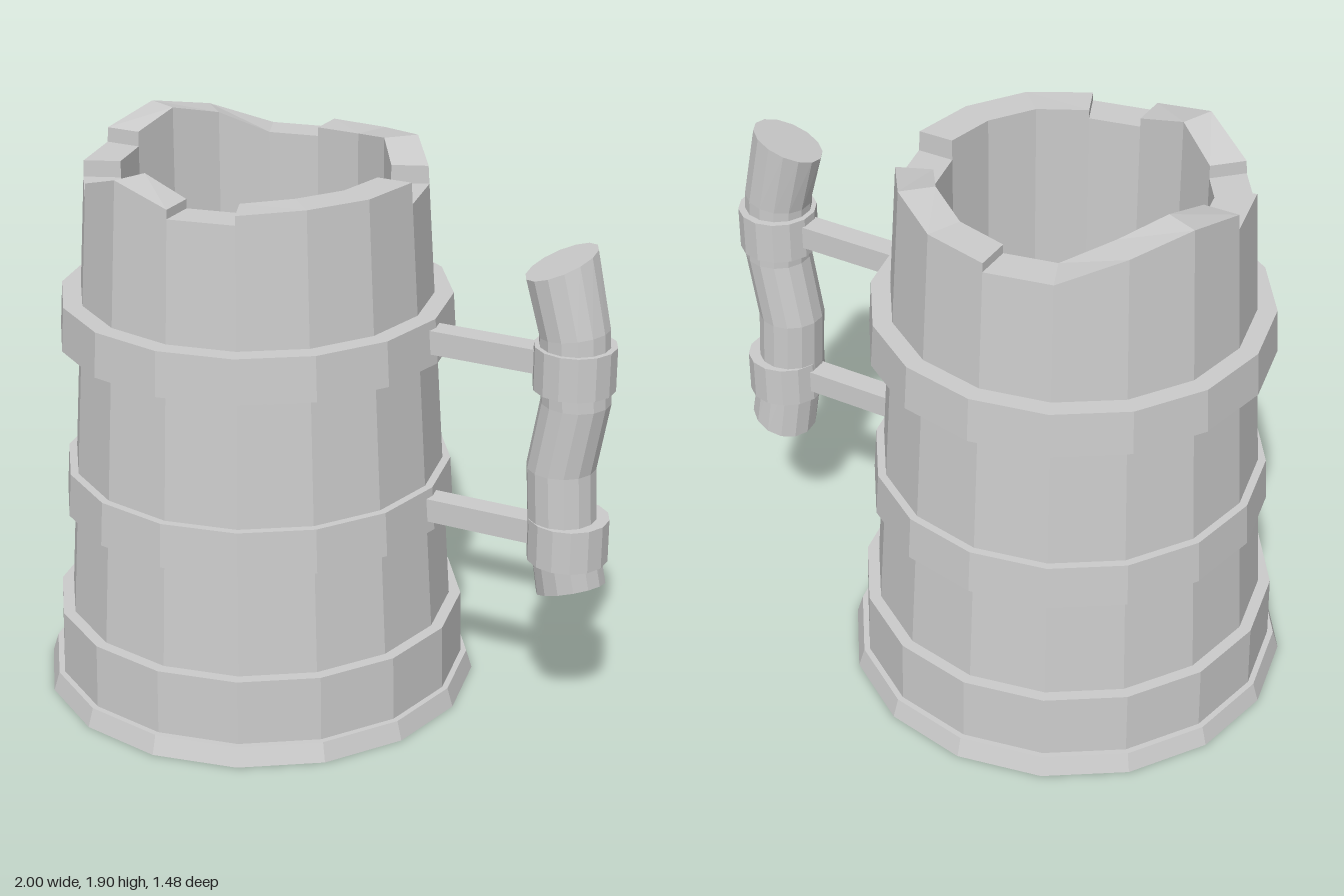
import * as THREE from 'three';

const SIDES = 16;
const CX = -0.26; // mug axis
const material = new THREE.MeshStandardMaterial({ color: 0xcccccc, flatShading: true });

function add(parent, name, geometry, x = 0, y = 0, z = 0) {
  const mesh = new THREE.Mesh(geometry, material);
  mesh.name = name;
  mesh.position.set(x, y, z);
  parent.add(mesh);
  return mesh;
}

const lathe = (profile) =>
  new THREE.LatheGeometry(profile.map(([r, y]) => new THREE.Vector2(r, y)), SIDES);

// Broken rim: start and end height of each wall segment, from +x through the front (+z)
const RIM = [
  [1.83, 1.83], [1.83, 1.83], [1.83, 1.82], [1.79, 1.79],
  [1.82, 1.87], [1.87, 1.80], [1.755, 1.755], [1.81, 1.81],
  [1.86, 1.905], [1.905, 1.865], [1.865, 1.79], [1.79, 1.79],
  [1.82, 1.83], [1.83, 1.86], [1.86, 1.82], [1.76, 1.76],
];

// Hollow tapering wall with a stepped rim and a floor
function wallGeometry() {
  const inner = 0.44, floorY = 0.15, bottomY = 0.2;
  const outer = (y) => 0.655 - (y - 0.29) * 0.062;
  const positions = [];
  const point = (k, r, y) => {
    const a = (k / SIDES) * Math.PI * 2;
    return [r * Math.cos(a), y, r * Math.sin(a)];
  };
  const tri = (a, b, c) => positions.push(...a, ...b, ...c);
  const quad = (a, b, c, d) => { tri(a, b, c); tri(a, c, d); };

  RIM.forEach(([y0, y1], k) => {
    const n = k + 1;
    const o0 = point(k, outer(y0), y0), o1 = point(n, outer(y1), y1);
    const i0 = point(k, inner, y0), i1 = point(n, inner, y1);
    const f0 = point(k, inner, floorY), f1 = point(n, inner, floorY);
    quad(point(k, outer(bottomY), bottomY), o0, o1, point(n, outer(bottomY), bottomY));
    quad(o0, i0, i1, o1); // rim top
    quad(i0, f0, f1, i1); // inside
    tri([0, floorY, 0], f1, f0); // floor
    // step face between this segment and the next
    const y2 = RIM[n % SIDES][0];
    if (y2 !== y1) {
      // corner order follows the step direction
      quad(o1, i1, point(n, inner, y2), point(n, outer(y2), y2));
    }
  });
  const geometry = new THREE.BufferGeometry();
  geometry.setAttribute('position', new THREE.Float32BufferAttribute(positions, 3));
  geometry.computeVertexNormals();
  return geometry;
}

// Crooked grip: each row is centre x, centre y, centre z, tilt along x, tilt along z
function gripGeometry() {
  const rows = [
    [0.813, 1.65, 0, 0.4, -0.2],
    [0.865, 1.43, 0, 0.15, 0],
    [0.878, 1.2, 0, 0, 0],
    [0.838, 0.97, 0, 0, 0],
    [0.848, 0.78, 0, 0, 0],
    [0.882, 0.54, -0.015, 0.32, 0.18],
  ];
  const geometry = new THREE.CylinderGeometry(0.112, 0.112, 1, 14, rows.length - 1);
  const p = geometry.attributes.position;
  for (let i = 0; i < p.count; i++) {
    const [cx, cy, cz, tx, tz] = rows[Math.round((0.5 - p.getY(i)) * (rows.length - 1))];
    const x = p.getX(i), z = p.getZ(i);
    p.setXYZ(i, cx + x, cy + tx * x + tz * z, cz + z);
  }
  geometry.computeVertexNormals();
  return geometry;
}

export function createModel() {
  const model = new THREE.Group();
  model.name = 'mug';

  // Body
  add(model, 'wall', wallGeometry(), CX);
  add(model, 'base', lathe([
    [0, 0], [0.74, 0], [0.72, 0.065], [0.70, 0.065], [0.695, 0.29], [0.62, 0.29],
  ]), CX);

  // Hoops round the body, each with a strut and a collar holding the grip
  const handle = new THREE.Group();
  handle.name = 'handle';
  model.add(handle);
  for (const [label, y] of [['lower', 0.65], ['upper', 1.24]]) {
    add(model, label + 'Hoop', lathe([
      [0.56, y], [0.66, y], [0.65, y + 0.15], [0.56, y + 0.15],
    ]), CX);
    add(handle, label + 'Strut', new THREE.BoxGeometry(0.47, 0.08, 0.08), 0.555, y + 0.08, -0.005);
    add(handle, label + 'Collar', new THREE.CylinderGeometry(0.132, 0.132, 0.145, 14), 0.868, y + 0.075, -0.005);
  }
  add(handle, 'grip', gripGeometry());

  return model;
}
